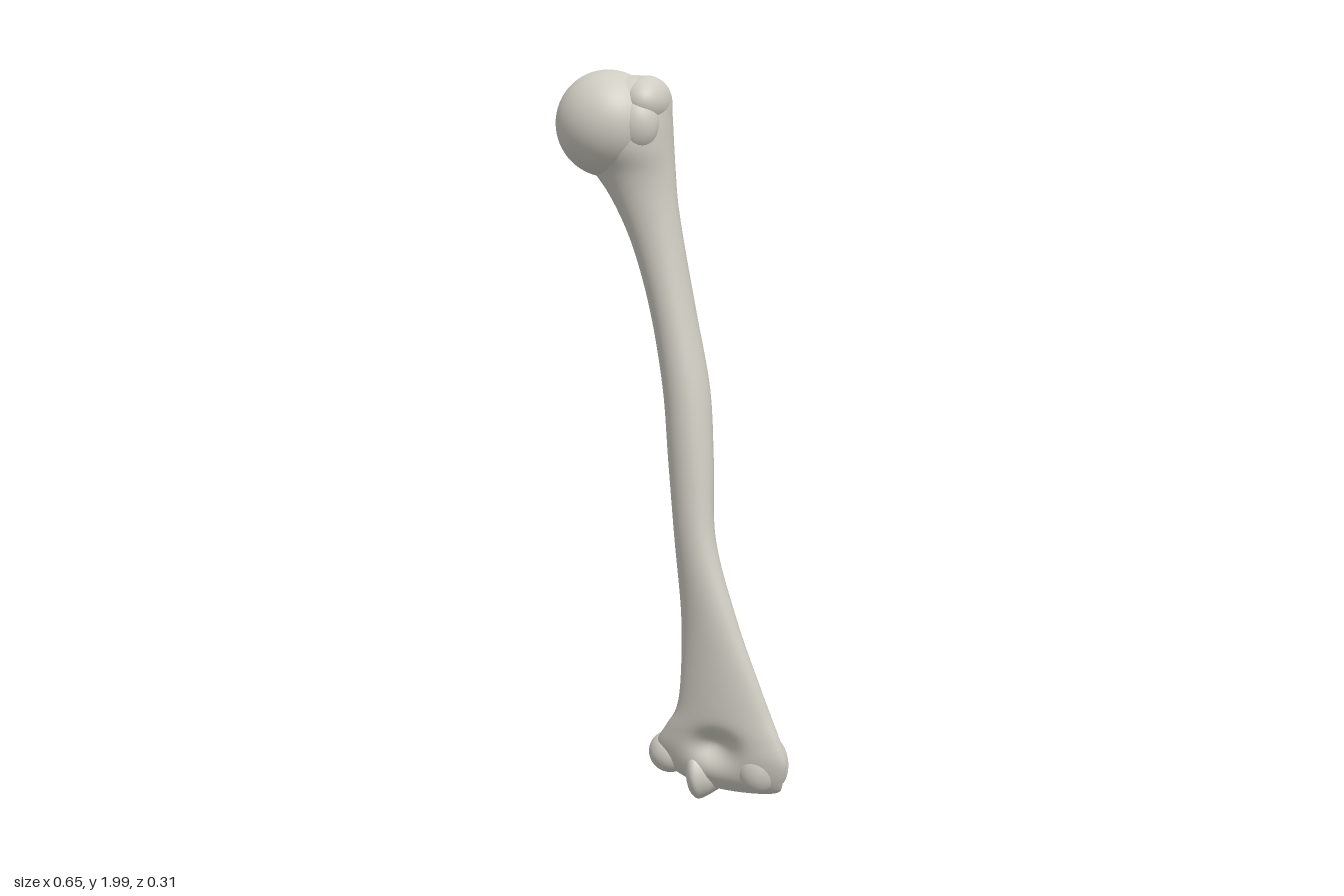
import * as THREE from 'three';

// Cross-sections of the bone body, bottom to top:
// [y, x min, x max, z min, z max, shear of z along x]
const SECTIONS = [
  [0.055, 0.12, 0.20, 0.05, 0.09, 0.2],
  [0.06, 0.04, 0.29, 0.02, 0.11, 0.25],
  [0.10, -0.03, 0.31, 0.0, 0.137, 0.28],
  [0.16, -0.055, 0.32, 0.0, 0.153, 0.28],
  [0.22, -0.025, 0.302, 0.02, 0.155, 0.25],
  [0.28, 0.007, 0.278, 0.033, 0.153, 0.22],
  [0.38, 0.02, 0.24, 0.04, 0.15, 0.22],
  [0.55, 0.02, 0.177, 0.03, 0.142, 0.25],
  [0.76, 0.0, 0.116, 0.01, 0.128, 0.2],
  [0.97, -0.02, 0.105, -0.02, 0.11, 0.1],
  [1.16, -0.037, 0.09, -0.045, 0.093, 0],
  [1.36, -0.073, 0.05, -0.065, 0.075, 0],
  [1.53, -0.12, 0.018, -0.067, 0.066, 0],
  [1.65, -0.172, -0.001, -0.07, 0.068, 0],
  [1.73, -0.225, -0.008, -0.087, 0.08, 0],
  [1.80, -0.29, -0.013, -0.118, 0.108, 0],
  [1.87, -0.28, -0.016, -0.11, 0.108, 0],
  [1.93, -0.25, -0.02, -0.09, 0.09, 0],
  [1.97, -0.2, -0.045, -0.06, 0.06, 0],
  [1.985, -0.14, -0.1, -0.01, 0.01, 0],
];

function catmull(a, b, c, d, t) {
  const u = (c - a) / 2, v = (d - b) / 2;
  return (2 * b - 2 * c + u + v) * t ** 3 + (-3 * b + 3 * c - 2 * u - v) * t * t + u * t + b;
}

// Smoothly interpolated section at position s along the list
function sectionAt(s) {
  const last = SECTIONS.length - 1;
  const i = Math.min(Math.floor(s), last - 1);
  const at = (k) => SECTIONS[Math.max(0, Math.min(last, k))];
  return SECTIONS[0].map((_, n) => catmull(at(i - 1)[n], at(i)[n], at(i + 1)[n], at(i + 2)[n], s - i));
}

const dent = (x, y, cx, cy, sx, sy) => Math.exp(-(((x - cx) / sx) ** 2) - ((y - cy) / sy) ** 2);

function boneBody() {
  const around = 72, steps = (SECTIONS.length - 1) * 8;
  const pos = [], index = [];
  for (let i = 0; i <= steps; i++) {
    const [y, x0, x1, z0, z1, shear] = sectionAt((i / steps) * (SECTIONS.length - 1));
    const rx = (x1 - x0) / 2, half = (z1 - z0) / 2;
    const rz = Math.sqrt(Math.max(half * half - (shear * rx) ** 2, half * half * 0.2));
    for (let j = 0; j < around; j++) {
      const a = (j / around) * Math.PI * 2, c = Math.cos(a), s = Math.sin(a);
      const x = (x0 + x1) / 2 + rx * c;
      let z = (z0 + z1) / 2 + rz * s + shear * rx * c;
      // Hollows above the elbow joint, deep in front and shallow behind
      if (s > 0) z -= 0.05 * s * dent(x, y, 0.12, 0.185, 0.06, 0.045);
      else z -= 0.025 * s * dent(x, y, 0.13, 0.21, 0.06, 0.045);
      pos.push(x, y, z);
    }
  }
  for (let i = 0; i < steps; i++) {
    for (let j = 0; j < around; j++) {
      const a = i * around + j, b = i * around + ((j + 1) % around);
      const c = a + around, d = b + around;
      index.push(a, c, b, b, c, d);
    }
  }
  // End caps
  const top = steps * around;
  for (let j = 1; j < around - 1; j++) {
    index.push(0, j, j + 1, top, top + j + 1, top + j);
  }
  const g = new THREE.BufferGeometry();
  g.setAttribute('position', new THREE.Float32BufferAttribute(pos, 3));
  g.setIndex(index);
  g.computeVertexNormals();
  return g;
}

export function createModel() {
  const model = new THREE.Group();
  model.name = 'upperArmBone';
  const bone = new THREE.MeshStandardMaterial({ color: 0xcfccc2 });
  bone.name = 'bone';

  const add = (name, geometry) => {
    const mesh = new THREE.Mesh(geometry, bone);
    mesh.name = name;
    model.add(mesh);
    return mesh;
  };
  const knob = (name, p, r, rot = [0, 0, 0]) => {
    const mesh = add(name, new THREE.SphereGeometry(1, 48, 32));
    mesh.position.set(...p);
    mesh.scale.set(...r);
    mesh.rotation.set(...rot);
  };

  add('shaft', boneBody());

  // Shoulder end
  knob('head', [-0.187, 1.86, 0], [0.14, 0.14, 0.136]);
  knob('greaterTubercle', [-0.085, 1.915, 0], [0.067, 0.07, 0.1]);
  knob('lesserTubercle', [-0.165, 1.855, -0.105], [0.05, 0.075, 0.054], [0, 0.3, 0]);
  knob('frontTubercle', [-0.1, 1.86, 0.06], [0.06, 0.075, 0.052]);

  // Elbow joint: a grooved roller with a rounded outer end
  const outline = [[0.001, -0.03], [0.055, -0.022], [0.079, -0.002], [0.072, 0.025], [0.052, 0.065],
    [0.049, 0.1], [0.053, 0.14], [0.059, 0.19], [0.048, 0.225], [0.001, 0.245]];
  const curve = new THREE.SplineCurve(outline.map(([r, h]) => new THREE.Vector2(r, h)));
  const points = curve.getPoints(54).map((p) => new THREE.Vector2(Math.max(p.x, 0), p.y));
  const roller = add('elbowRoller', new THREE.LatheGeometry(points, 48));
  roller.position.set(0.06, 0.088, 0.035);
  roller.rotation.z = -Math.PI / 2 + 0.1;

  // Side knobs of the elbow
  knob('innerEpicondyle', [-0.022, 0.127, 0.01], [0.06, 0.058, 0.054], [0, -0.3, 0]);
  knob('outerEpicondyle', [0.275, 0.15, 0.1], [0.046, 0.075, 0.045], [0, 0, 0.15]);
  knob('outerRidge', [0.24, 0.13, 0.105], [0.06, 0.07, 0.05]);

  return model;
}
